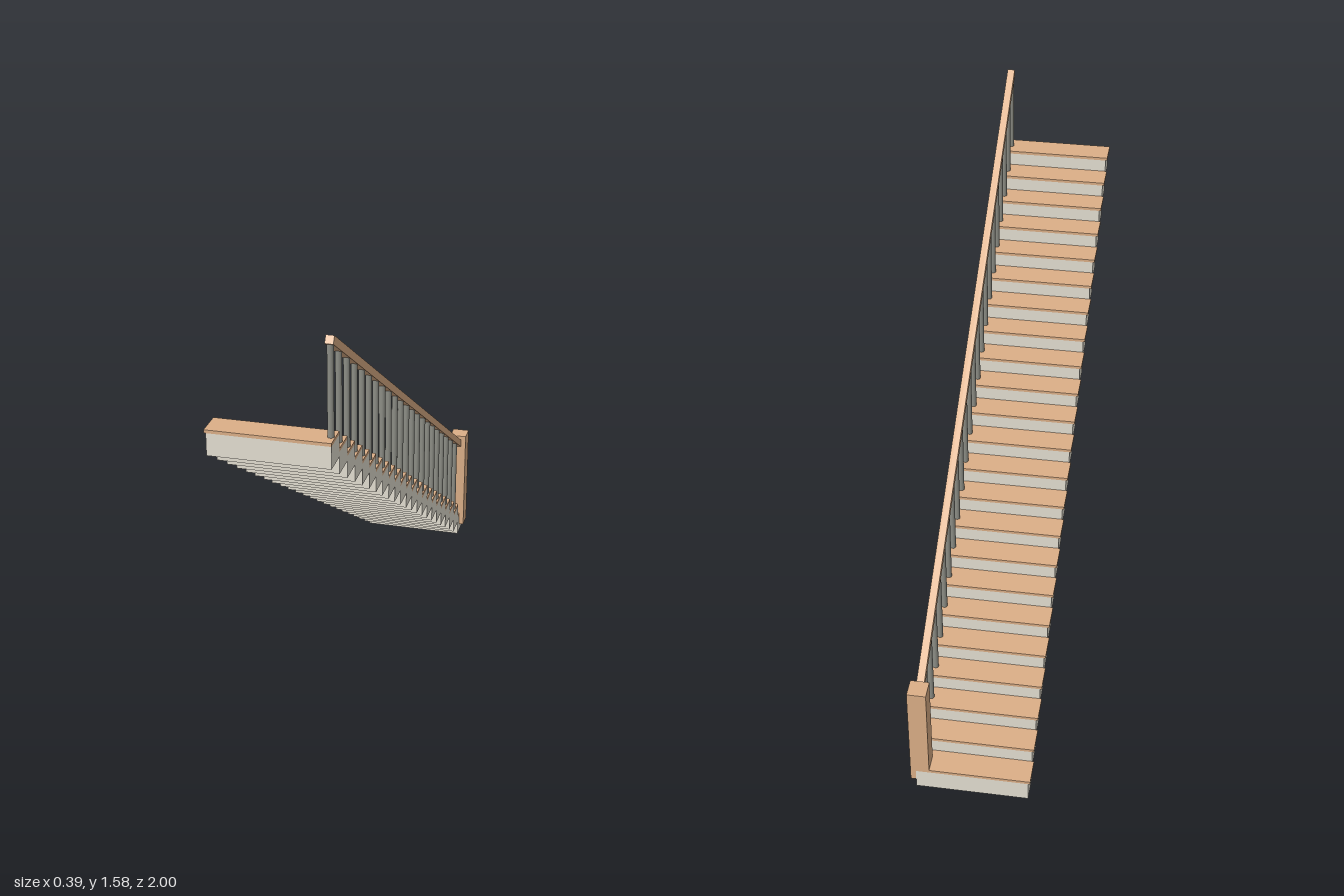
import * as THREE from 'three';

const STEPS = 23;
const RUN = 2 / STEPS;
const RISE = 0.0544;
const BLOCK_H = 0.07;
const TREAD_H = 0.01;
const LEFT = 0.177;                    // railing side of the flight
const RIGHT = -0.189;                  // open side of the flight
const LIP = 0.006;                     // tread overhang on the open side
const RAIL_X = 0.164;
const SLOPE = 0.62;

const railY = (z) => 0.973 + SLOPE * z;   // centre line of the handrail

export function createModel() {
  const stairs = new THREE.Group();
  stairs.name = 'staircase';

  const stone = new THREE.MeshStandardMaterial({ color: 0xe4dfd2 });
  stone.name = 'pale stone';
  const wood = new THREE.MeshStandardMaterial({ color: 0xdcaf87 });
  wood.name = 'light wood';
  const metal = new THREE.MeshStandardMaterial({ color: 0x8d8e86 });
  metal.name = 'grey metal';

  const add = (name, geometry, material, x, y, z) => {
    const mesh = new THREE.Mesh(geometry, material);
    mesh.name = name;
    mesh.position.set(x, y, z);
    stairs.add(mesh);
    return mesh;
  };

  const blockGeo = new THREE.BoxGeometry(LEFT - RIGHT, BLOCK_H, RUN);
  const treadGeo = new THREE.BoxGeometry(LEFT - RIGHT + LIP, TREAD_H, RUN);

  for (let i = 0; i < STEPS; i++) {
    const base = i * RISE;
    const z = -1 + (i + 0.5) * RUN;

    // Step block with a wooden tread
    add('stepBlock', blockGeo, stone, (LEFT + RIGHT) / 2, base + BLOCK_H / 2, z);
    add('tread', treadGeo, wood, (LEFT + RIGHT - LIP) / 2, base + BLOCK_H + TREAD_H / 2, z);

    // One baluster per step, except where the newel post stands
    if (i > 0) {
      const foot = base + BLOCK_H + TREAD_H;
      const height = railY(z) - foot;
      add('baluster', new THREE.CylinderGeometry(0.01, 0.01, height, 12), metal,
        RAIL_X, foot + height / 2, z);
    }
  }

  // Sloping handrail
  const zLow = -0.955, zHigh = 0.964;
  const length = (zHigh - zLow) * Math.hypot(1, SLOPE);
  const zMid = (zLow + zHigh) / 2;
  const rail = add('handrail', new THREE.BoxGeometry(0.025, 0.025, length), wood,
    RAIL_X, railY(zMid), zMid);
  rail.rotation.x = -Math.atan(SLOPE);

  // Newel post at the foot of the stairs
  add('newelPost', new THREE.BoxGeometry(0.061, 0.39, 0.062), wood, RAIL_X, 0.227, -0.969);

  return stairs;
}
